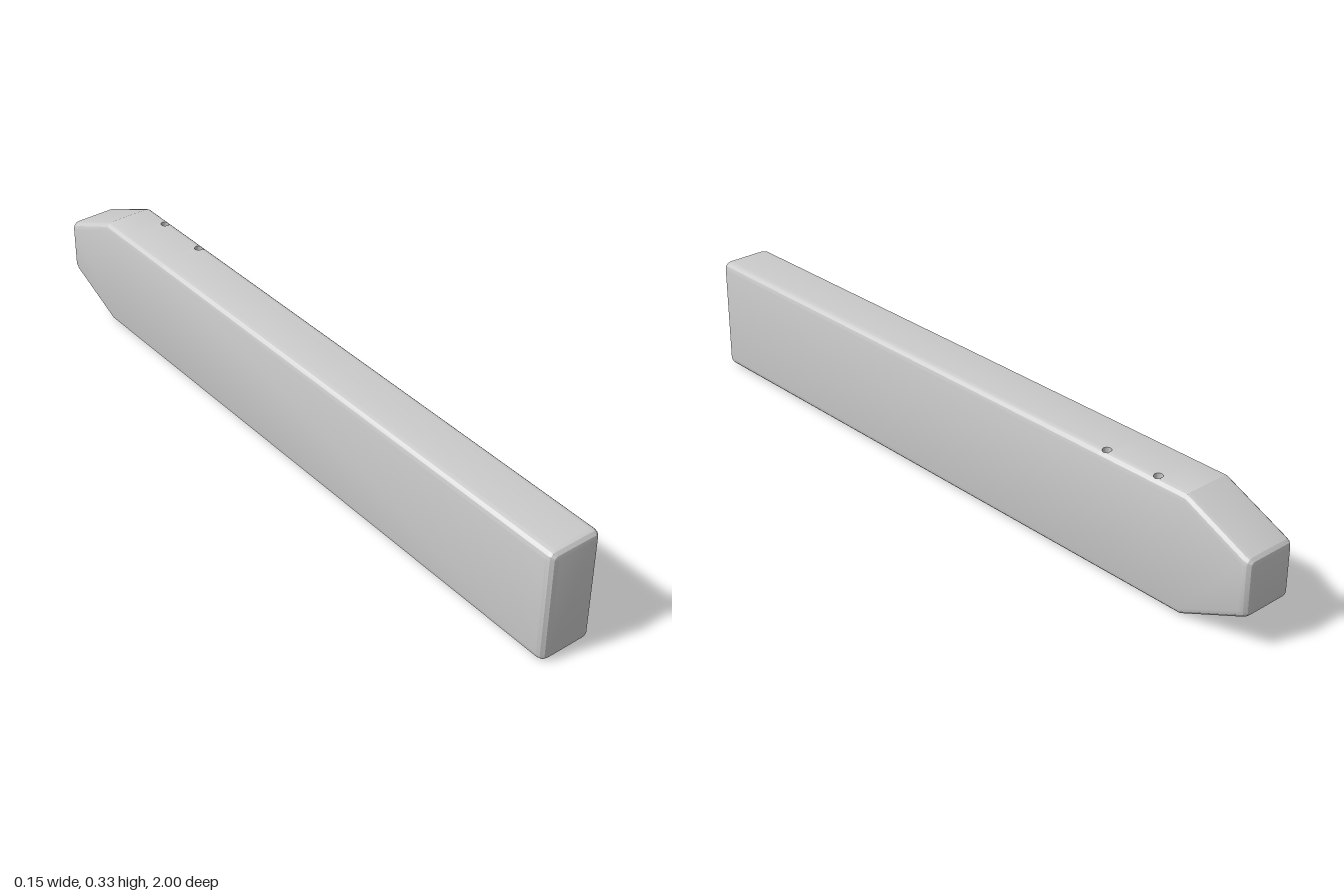
import * as THREE from 'three';
import { toCreasedNormals } from 'three/addons/utils/BufferGeometryUtils.js';

const HALF_W = 0.077, HEIGHT = 0.326, FILLET = 0.021, STEPS = 3;
const TAPER_Z = -0.8, SLOPE = 0.45;
const HOLE_X = 0.055, HOLE_R = 0.0115, HOLES_Z = [-0.7, -0.535];

// Cross-section station: inset of the sides, inset of top and bottom, half-width of the hole
const station = (z, inset = 0, rise = 0, gap = 0) => ({
  z, gap,
  w: HALF_W - inset,
  r: FILLET - inset,
  low: rise,
  high: HEIGHT - rise,
});

// Stations from the tapered back end to the square front end
function makeStations() {
  const list = [];
  const lean = Math.hypot(1, SLOPE);
  const backZ = -1 + FILLET, frontZ = 1 - FILLET;
  const rise = (z) => (TAPER_Z - z) * SLOPE;
  for (let i = STEPS; i >= 0; i--) { // bevelled back end
    const a = (i / STEPS) * Math.PI / 2;
    const z = backZ - FILLET * Math.sin(a);
    // past the tangent point the slope rolls over into the end face
    const round = rise(backZ) + FILLET * (lean - Math.cos(a));
    list.push(station(z, FILLET * (1 - Math.cos(a)), Math.sin(a) > SLOPE / lean ? round : rise(z)));
  }
  list.push(station(TAPER_Z));
  for (const c of HOLES_Z) {
    for (let i = 0; i <= 12; i++) {
      const a = (i / 12) * Math.PI;
      const gap = i % 12 ? HOLE_R * Math.sin(a) : 0;
      list.push(station(c - HOLE_R * Math.cos(a), 0, 0, gap));
    }
  }
  for (let i = 0; i <= STEPS; i++) { // bevelled front end
    const a = (i / STEPS) * Math.PI / 2;
    const inset = FILLET * (1 - Math.cos(a));
    list.push(station(frontZ + FILLET * Math.sin(a), inset, inset));
  }
  return list;
}

// Upper outline of one half of the section, from the hole line to the outer side
function upperOutline(s, side) {
  const flat = s.w - s.r;
  const start = side * HOLE_X + s.gap; // measured outwards
  const a0 = start > flat ? Math.asin((start - flat) / s.r) : 0;
  const yAt = (a) => s.high - s.r + s.r * Math.cos(a);
  const pts = [[start, yAt(a0)]];
  for (let i = 0; i <= STEPS; i++) {
    const a = Math.max(a0, (i / STEPS) * Math.PI / 2);
    pts.push([flat + s.r * Math.sin(a), yAt(a)]);
  }
  return pts.map(([x, y]) => new THREE.Vector3(side * x, y, s.z));
}

function beamGeometry() {
  const pos = [];
  const ab = new THREE.Vector3(), ac = new THREE.Vector3();
  const tri = (a, b, c) => {
    ab.subVectors(b, a);
    ac.subVectors(c, a);
    if (ab.cross(ac).length() > 1e-10) for (const p of [a, b, c]) pos.push(p.x, p.y, p.z);
  };
  const quad = (a, b, c, d, flip) => {
    if (flip) { tri(a, c, b); tri(a, d, c); } else { tri(a, b, c); tri(a, c, d); }
  };
  const stations = makeStations();
  for (const side of [1, -1]) {
    const rings = stations.map((s) => {
      const top = upperOutline(s, side);
      const bottom = top.map((p) => new THREE.Vector3(p.x, s.low + s.high - p.y, p.z));
      return [...top, ...bottom.reverse()];
    });
    const n = rings[0].length;
    // skin between stations; the closing strip is the hole wall
    for (let k = 0; k < rings.length - 1; k++) {
      const open = stations[k].gap > 0 || stations[k + 1].gap > 0;
      for (let j = 0; j < (open ? n : n - 1); j++) {
        const m = (j + 1) % n;
        quad(rings[k][j], rings[k][m], rings[k + 1][m], rings[k + 1][j], side > 0);
      }
    }
    // flat end faces
    for (const [ring, flip] of [[rings[0], side < 0], [rings[rings.length - 1], side > 0]]) {
      for (let j = 0; j < n / 2 - 1; j++) {
        quad(ring[j], ring[j + 1], ring[n - 2 - j], ring[n - 1 - j], flip);
      }
    }
  }
  const g = new THREE.BufferGeometry();
  g.setAttribute('position', new THREE.Float32BufferAttribute(pos, 3));
  return toCreasedNormals(g, 0.3);
}

export function createModel() {
  const group = new THREE.Group();
  group.name = 'beam';
  const body = new THREE.Mesh(beamGeometry(), new THREE.MeshStandardMaterial({ color: 0xcccccc }));
  body.name = 'drilledBeamBody';
  group.add(body);
  return group;
}
